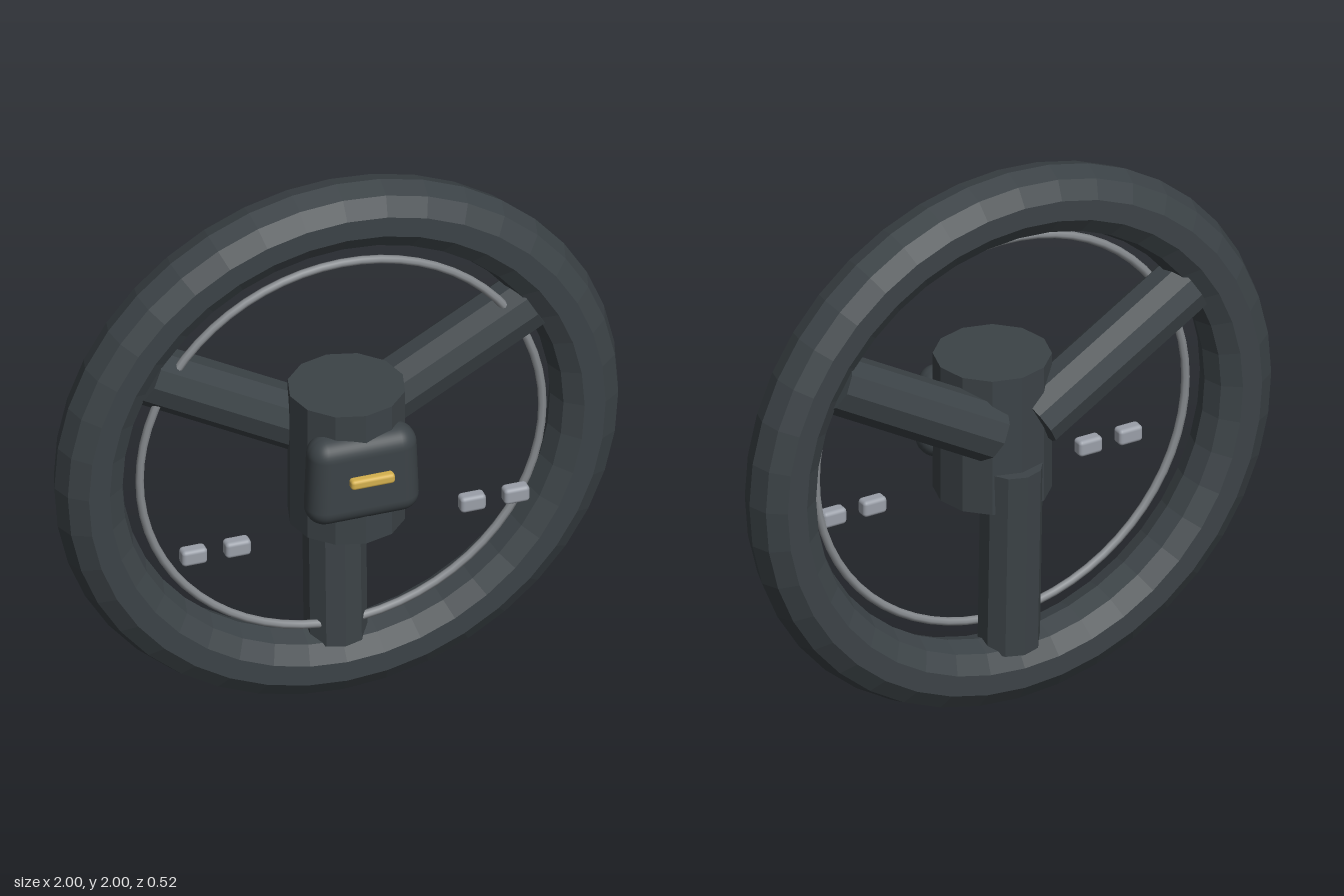
import * as THREE from 'three';
import { RoundedBoxGeometry } from 'three/addons/geometries/RoundedBoxGeometry.js';

function material(name, color) {
  const m = new THREE.MeshStandardMaterial({ color });
  m.name = name;
  return m;
}

export function createModel() {
  const leather = material('dark leather', 0x3c4347);
  const silver = material('silver', 0x9a9fa8);
  const steel = material('steel', 0x85898d);
  const gold = material('gold', 0xd4b04e);

  const model = new THREE.Group();
  model.name = 'steeringWheel';

  function add(name, geometry, mat, x, y, z, parent = model) {
    const mesh = new THREE.Mesh(geometry, mat);
    mesh.name = name;
    mesh.position.set(x, y, z);
    parent.add(mesh);
    return mesh;
  }
  // Faceted copy of a geometry
  const faceted = (geometry) => {
    const g = geometry.toNonIndexed();
    g.computeVertexNormals();
    return g;
  };

  // Thick ten-sided rim and the thin trim ring inside it
  add('rim', faceted(new THREE.TorusGeometry(0.88, 0.12, 10, 40)), leather, 0, 1, -0.125);
  add('trimRing', new THREE.TorusGeometry(0.715, 0.015, 8, 64), steel, 0, 1, -0.075);

  // Three spokes, leaning slightly forward towards the rim
  const inner = 0.1, outer = 0.79;
  const spokeGeometry = faceted(new THREE.CylinderGeometry(0.107, 0.107, outer - inner, 10));
  [-60, 60, 180].forEach((degrees, i) => {
    const arm = new THREE.Group();
    arm.name = 'spokeArm' + (i + 1);
    arm.position.set(0, 1, -0.14);
    arm.rotation.z = THREE.MathUtils.degToRad(degrees);
    model.add(arm);
    add('spoke', spokeGeometry, leather, 0, (inner + outer) / 2, 0, arm).rotation.x = 0.03;
  });

  // Upright faceted hub
  add('hub', faceted(new THREE.CylinderGeometry(0.2, 0.2, 0.51, 12)), leather, 0, 1.005, -0.02);

  // Soft pad, a little narrower at the top
  const padGeometry = new RoundedBoxGeometry(0.39, 0.33, 0.14, 5, 0.066);
  const p = padGeometry.attributes.position;
  for (let i = 0; i < p.count; i++) p.setX(i, p.getX(i) * (1 - 0.2 * p.getY(i)));
  add('pad', padGeometry, leather, 0, 1.005, 0.13);

  // Gold bar floating before the pad
  add('badge', new RoundedBoxGeometry(0.156, 0.037, 0.037, 2, 0.012), gold, 0, 1.04, 0.24);

  // Two buttons on each side
  const buttonGeometry = new RoundedBoxGeometry(0.09, 0.06, 0.05, 3, 0.014);
  for (const side of [-1, 1]) {
    for (const x of [0.417, 0.572]) {
      add(side > 0 ? 'leftButton' : 'rightButton', buttonGeometry, silver, side * x, 0.755, 0.06);
    }
  }
  return model;
}
